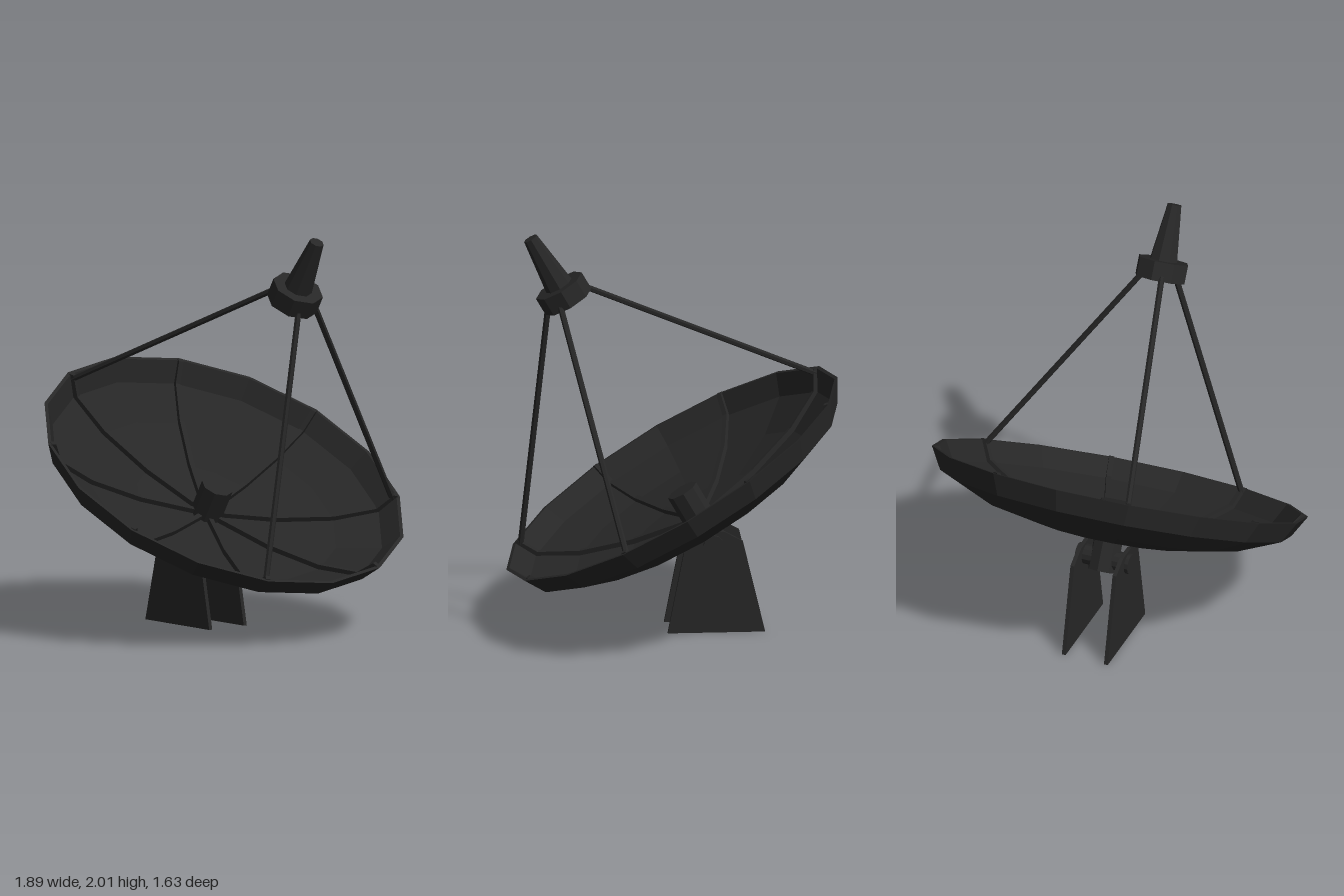
import * as THREE from 'three';

const dark = new THREE.MeshStandardMaterial({ color: 0x262626, flatShading: true });

function add(parent, name, geometry, x = 0, y = 0, z = 0) {
  const mesh = new THREE.Mesh(geometry, dark);
  mesh.name = name;
  mesh.position.set(x, y, z);
  parent.add(mesh);
  return mesh;
}

// Cylinder along y between two heights
function post(parent, name, y0, y1, r0, r1, sides) {
  return add(parent, name, new THREE.CylinderGeometry(r1, r0, y1 - y0, sides), 0, (y0 + y1) / 2, 0);
}

// Straight rod between two points
function rod(parent, name, a, b, radius) {
  const dir = b.clone().sub(a);
  const mesh = add(parent, name, new THREE.CylinderGeometry(radius, radius, dir.length(), 6));
  mesh.position.copy(a).add(b).multiplyScalar(0.5);
  mesh.quaternion.setFromUnitVectors(new THREE.Vector3(0, 1, 0), dir.normalize());
}

// Flat outline extruded to a centred thickness
function slab(points, thickness) {
  const shape = new THREE.Shape(points.map(([x, y]) => new THREE.Vector2(x, y)));
  return new THREE.ExtrudeGeometry(shape, { depth: thickness, bevelEnabled: false })
    .translate(0, 0, -thickness / 2);
}

// Direction around the dish axis, at a given radius and height
const polar = (angle, r, y) => new THREE.Vector3(Math.cos(angle) * r, y, Math.sin(angle) * r);

export function createModel() {
  const model = new THREE.Group();
  model.name = 'satelliteDish';

  // Everything on the dish axis leans 30 degrees forward about the rim centre
  const head = new THREE.Group();
  head.name = 'tiltedHead';
  head.position.y = 0.78;
  head.rotation.x = Math.PI / 6;
  model.add(head);

  // Thin bowl: outer skin up to the rim, inner skin back to the centre
  const outer = [[0, -0.295], [0.38, -0.265], [0.665, -0.205], [0.88, -0.11], [0.943, 0]];
  const inner = [[0.925, 0], [0.865, -0.1], [0.655, -0.19], [0.37, -0.248], [0, -0.275]];
  const profile = [...outer, ...inner].map(([x, y]) => new THREE.Vector2(x, y));
  add(head, 'bowl', new THREE.LatheGeometry(profile, 16));

  // Eight ribs following the inside of the bowl
  const ribOutline = [
    [0.04, -0.28], [0.37, -0.255], [0.655, -0.197], [0.867, -0.105], [0.93, 0.005],
    [0.905, 0.008], [0.845, -0.085], [0.645, -0.167], [0.365, -0.223], [0.04, -0.248],
  ];
  for (let i = 0; i < 8; i++) {
    const rib = add(head, 'rib', slab(ribOutline, 0.025));
    rib.rotation.y = (i + 0.5) * Math.PI / 4;
  }

  // Centre hub and rear neck
  post(head, 'centreHub', -0.285, -0.1, 0.08, 0.08, 8);
  post(head, 'neck', -0.45, -0.28, 0.075, 0.075, 8);

  // Feed collar and horn held above the bowl
  post(head, 'feedCollar', 1.02, 1.115, 0.13, 0.13, 8);
  post(head, 'feedHorn', 1.1, 1.395, 0.073, 0.036, 8);

  // Three struts from the rim to the collar
  for (const degrees of [22.5, 112.5, 247.5]) {
    const angle = THREE.MathUtils.degToRad(degrees);
    rod(head, 'strut', polar(angle, 0.91, -0.02), polar(angle, 0.105, 1.045), 0.015);
  }

  // Two side plates of the stand
  const plate = [[0.45, 0], [-0.03, 0], [0.06, 0.46], [0.15, 0.51], [0.25, 0.51], [0.34, 0.46]];
  for (const side of [-1, 1]) {
    const mesh = add(model, 'standPlate', slab([...plate].reverse(), 0.02), side * 0.112);
    mesh.rotation.y = Math.PI / 2;
  }

  // Pivot pin through both plates
  const pin = add(model, 'pivotPin', new THREE.CylinderGeometry(0.05, 0.05, 0.28, 12), 0, 0.445, -0.195);
  pin.rotation.z = Math.PI / 2;

  return model;
}
